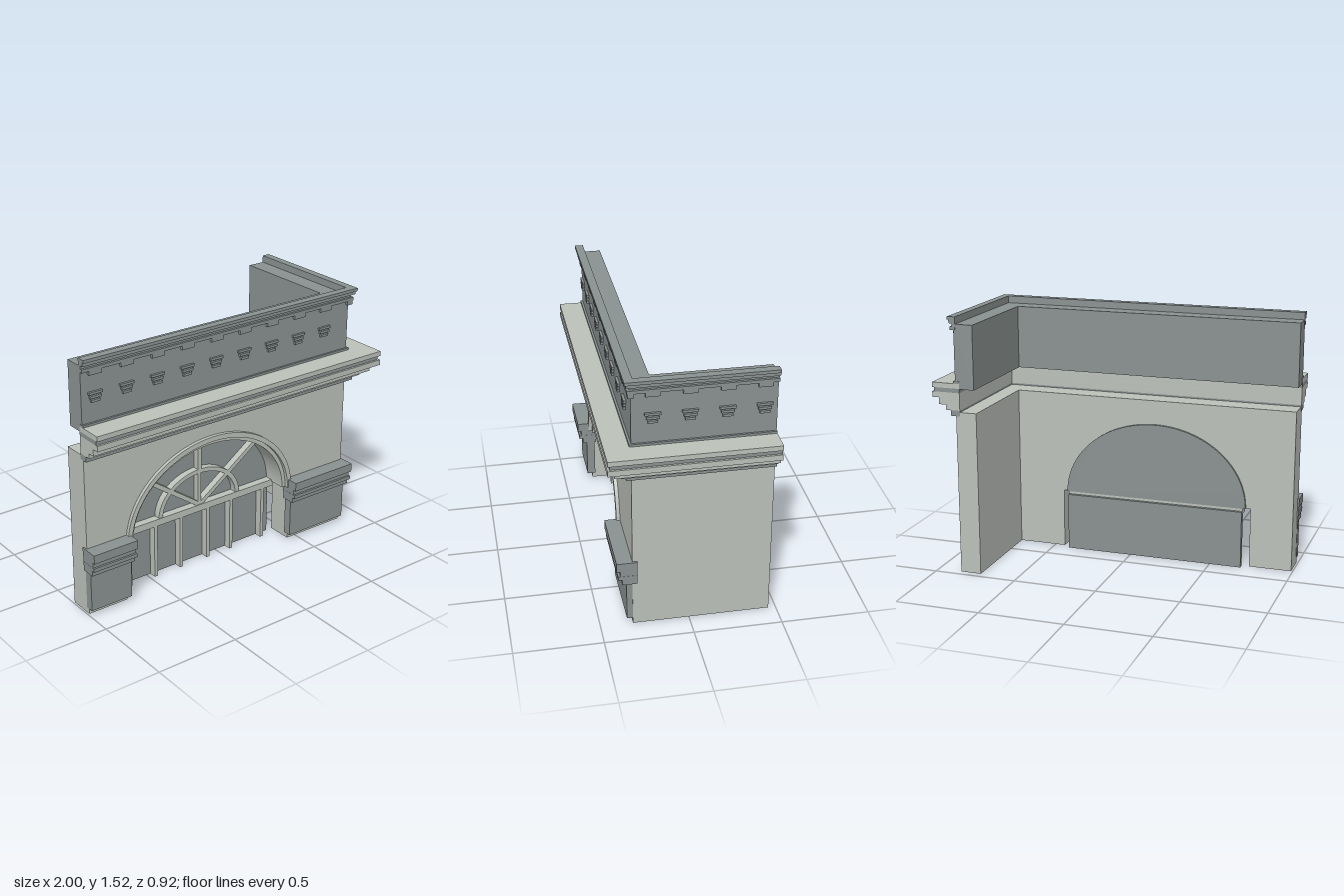
import * as THREE from 'three';

const stone = new THREE.MeshStandardMaterial({ color: 0xbcc1ba });
stone.name = 'pale stone';
const slate = new THREE.MeshStandardMaterial({ color: 0x8a9291 });
slate.name = 'grey slate';

const OUT_X = 0.855, OUT_Z = 0.317;   // outer wall faces
const CX = -0.147, SPRING = 0.36;     // arch centre and springing height

export function createModel() {
  const model = new THREE.Group();
  model.name = 'cornerFacade';

  const add = (name, geo, mat, parent = model) => {
    const mesh = new THREE.Mesh(geo, mat);
    mesh.name = name;
    parent.add(mesh);
    return mesh;
  };
  const group = (name) => {
    const g = new THREE.Group();
    g.name = name;
    model.add(g);
    return g;
  };
  // Box given by its limits on each axis
  const box = (name, [x0, x1], [y0, y1], [z0, z1], mat, parent) => {
    const mesh = add(name, new THREE.BoxGeometry(x1 - x0, y1 - y0, z1 - z0), mat, parent);
    mesh.position.set((x0 + x1) / 2, (y0 + y1) / 2, (z0 + z1) / 2);
    return mesh;
  };
  // L-shaped course running along the front and the side
  const course = (name, off, inX, inZ, y0, y1, mat, parent, left = -0.992, back = -0.46) => {
    const plan = [[left, inZ], [left, OUT_Z + off], [OUT_X + off, OUT_Z + off],
      [OUT_X + off, back], [inX, back], [inX, inZ]];
    const shape = new THREE.Shape(plan.map(([x, z]) => new THREE.Vector2(x, -z)));
    const geo = new THREE.ExtrudeGeometry(shape, { depth: y1 - y0, bevelEnabled: false });
    geo.rotateX(-Math.PI / 2).translate(0, y0, 0);
    return add(name, geo, mat, parent);
  };
  const extrudeZ = (name, shape, z0, z1, mat, parent) => {
    const geo = new THREE.ExtrudeGeometry(shape, { depth: z1 - z0, bevelEnabled: false, curveSegments: 32 });
    geo.translate(0, 0, z0);
    return add(name, geo, mat, parent);
  };
  // Half-elliptical band
  const halfRing = (rx, ry, ix, iy, base) => {
    const s = new THREE.Shape();
    s.moveTo(CX + rx, base);
    s.absellipse(CX, base, rx, ry, 0, Math.PI, false, 0);
    s.lineTo(CX - ix, base);
    s.absellipse(CX, base, ix, iy, Math.PI, 0, true, 0);
    s.closePath();
    return s;
  };

  // Front wall with arched opening, and side wall
  const wall = new THREE.Shape();
  wall.moveTo(-0.99, 0);
  wall.lineTo(-0.735, 0);
  wall.lineTo(-0.735, SPRING);
  wall.lineTo(CX - 0.56, SPRING);
  wall.absellipse(CX, SPRING, 0.56, 0.465, Math.PI, 0, true, 0);
  wall.lineTo(0.44, SPRING);
  wall.lineTo(0.44, 0);
  wall.lineTo(OUT_X, 0);
  wall.lineTo(OUT_X, 0.97);
  wall.lineTo(-0.99, 0.97);
  wall.closePath();
  extrudeZ('frontWall', wall, 0.165, OUT_Z, stone);
  box('sideWall', [0.73, OUT_X], [0, 0.97], [-0.458, 0.165], stone);

  // Arch surround
  extrudeZ('archMoulding', halfRing(0.588, 0.495, 0.56, 0.465, SPRING), 0.3, 0.338, stone);
  extrudeZ('archFrame', halfRing(0.562, 0.467, 0.537, 0.44, SPRING), 0.166, 0.315, stone);

  // Fan window
  const fan = group('fanWindow');
  const pane = new THREE.Shape();
  pane.absellipse(CX, SPRING, 0.56, 0.465, 0, Math.PI, false, 0);
  pane.closePath();
  extrudeZ('fanGlass', pane, 0.15, 0.168, slate, fan);
  extrudeZ('innerArc', halfRing(0.29, 0.232, 0.262, 0.207, 0.368), 0.16, 0.21, stone, fan);
  box('centreBar', [CX - 0.011, CX + 0.011], [0.36, 0.81], [0.16, 0.21], stone, fan);
  for (const side of [-1, 1]) {
    const dx = side * 0.4, dy = 0.285;
    const bar = add('diagonalBar', new THREE.BoxGeometry(Math.hypot(dx, dy), 0.026, 0.05), stone, fan);
    bar.position.set(CX + dx / 2, 0.37 + dy / 2, 0.185);
    bar.rotation.z = Math.atan2(dy, dx);
  }

  // Lower panel, transom and mullions
  const front = group('shopfront');
  box('lowerPanel', [-0.69, 0.4], [0, 0.345], [0.13, 0.165], slate, front);
  box('transom', [-0.692, 0.402], [0.33, 0.372], [0.15, 0.215], stone, front);
  for (const x of [-0.64, -0.46, -0.28, -0.085, 0.087, 0.325]) {
    box('mullion', [x - 0.011, x + 0.011], [0, 0.335], [0.16, 0.21], stone, front);
  }

  // Pilasters with stepped caps
  for (const [x0, x1, capX0, capX1] of [[-0.992, -0.725, -1, -0.715], [0.43, 0.853, 0.42, 0.867]]) {
    const pilaster = group('pilaster');
    box('shaft', [x0, x1], [0.035, 0.275], [0.3, 0.35], slate, pilaster);
    for (const [y0, y1, z, inset] of [[0.27, 0.305, 0.375, 0.003], [0.305, 0.327, 0.397, 0.001],
      [0.327, 0.36, 0.385, 0.002], [0.36, 0.412, 0.405, 0]]) {
      box('cap', [capX0 + inset, capX1 - inset], [y0, y1], [0.29, z], slate, pilaster);
    }
  }

  // Main cornice
  const cornice = group('cornice');
  for (const [y0, y1, off, mat] of [
    [0.947, 0.98, 0.032, slate], [0.98, 1.01, 0.062, stone], [1.01, 1.05, 0.104, stone],
    [1.05, 1.083, 0.145, stone], [1.083, 1.108, 0.133, slate], [1.108, 1.137, 0.145, stone]]) {
    course('corniceCourse', off, 0.83, 0.295, y0, y1, mat, cornice);
  }

  // Parapet and its top mouldings
  const parapet = group('parapet');
  course('parapetWall', 0, 0.74, 0.2, 1.105, 1.48, slate, parapet, -0.99, -0.458);
  course('parapetBase', 0.012, 0.83, 0.295, 1.137, 1.15, slate, parapet);
  for (const [y0, y1, off] of [[1.447, 1.466, 0.022], [1.466, 1.484, 0.008],
    [1.484, 1.504, 0.028], [1.504, 1.522, 0.037]]) {
    course('capMoulding', off, 0.845, 0.305, y0, y1, slate, parapet);
  }

  // Dentil and slatted bracket at one station, facing +z from the local origin
  const ornament = () => {
    const g = new THREE.Group();
    g.name = 'ornament';
    box('dentil', [-0.039, 0.039], [1.422, 1.45], [-0.01, 0.018], slate, g);
    [0.043, 0.035, 0.027].forEach((w, i) => {
      const y = 1.324 - i * 0.022;
      box('slat', [-w, w], [y - 0.014, y], [-0.01, 0.014], slate, g);
    });
    model.add(g);
    return g;
  };
  for (let i = 0; i < 9; i++) ornament().position.set(-0.907 + i * 0.197, 0, OUT_Z);
  for (let i = 0; i < 4; i++) {
    const g = ornament();
    g.position.set(OUT_X, 0, 0.203 - i * 0.197);
    g.rotation.y = Math.PI / 2;
  }
  // Dentil wrapping the corner
  box('cornerDentil', [0.835, OUT_X + 0.018], [1.422, 1.45], [0.3, OUT_Z + 0.018], slate);

  return model;
}
